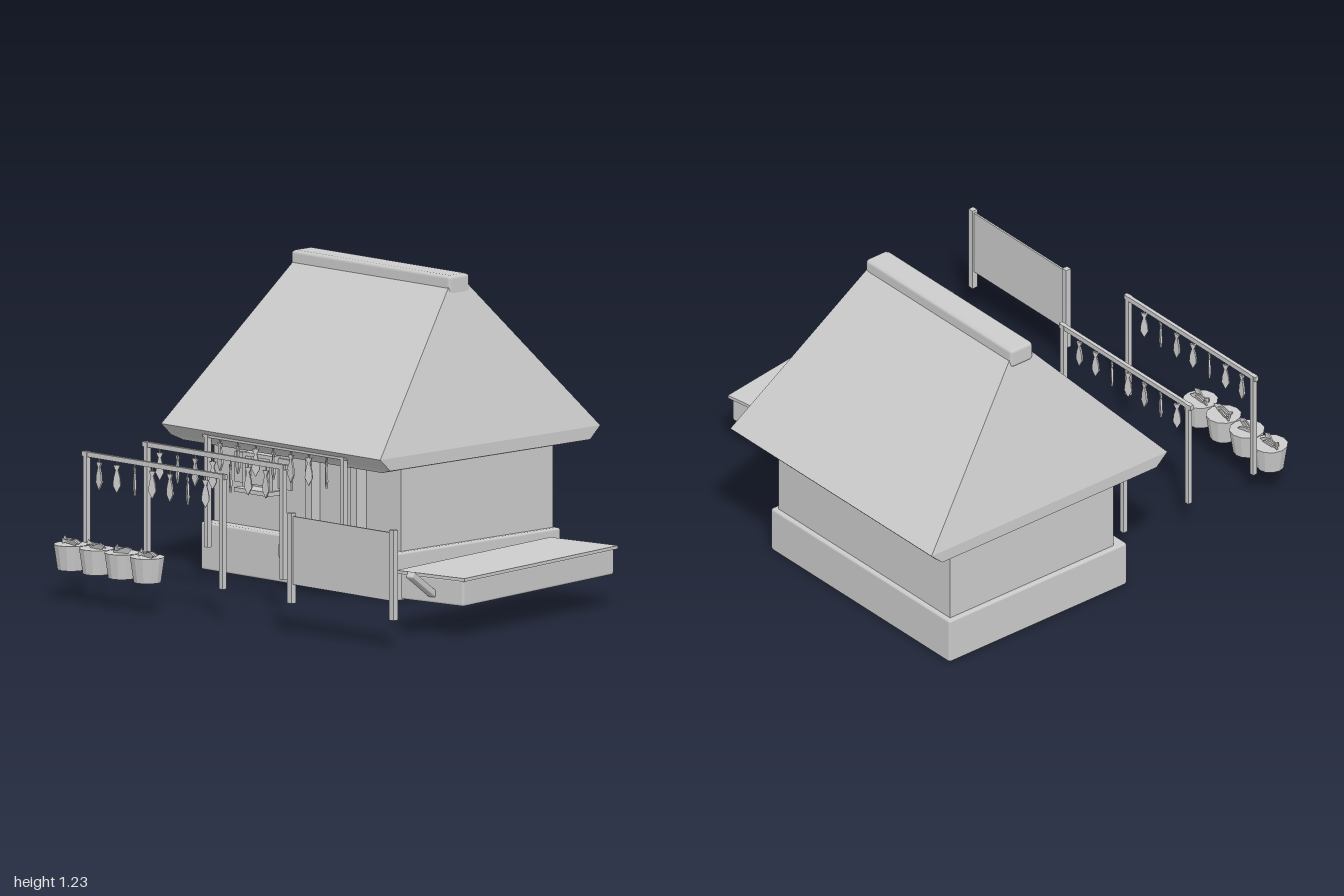
import * as THREE from 'three';
import { RoundedBoxGeometry } from 'three/addons/geometries/RoundedBoxGeometry.js';

const clay = new THREE.MeshStandardMaterial({ color: 0xcccccc });
clay.name = 'clay grey';

function add(parent, name, geometry, x = 0, y = 0, z = 0) {
  const mesh = new THREE.Mesh(geometry, clay);
  mesh.name = name;
  mesh.position.set(x, y, z);
  parent.add(mesh);
  return mesh;
}

// Box given by its limits on each axis; bevel rounds the edges
function box(parent, name, [x0, x1], [y0, y1], [z0, z1], bevel = 0) {
  const size = [x1 - x0, y1 - y0, z1 - z0];
  const g = bevel ? new RoundedBoxGeometry(...size, 1, bevel) : new THREE.BoxGeometry(...size);
  return add(parent, name, g, (x0 + x1) / 2, (y0 + y1) / 2, (z0 + z1) / 2);
}

function group(parent, name) {
  const g = new THREE.Group();
  g.name = name;
  parent.add(g);
  return g;
}

// Thick hollow hip roof: rectangular rings joined in order, outside to inside
function roofGeometry() {
  const cx = -0.3875, cz = -0.4;
  const rings = [ // half width, height, half depth
    [0.43, 1.2, 0.04], [0.6125, 0.585, 0.6], [0.6125, 0.535, 0.545],
    [0.555, 0.52, 0.535], [0.38, 1.12, 0.015],
  ];
  const corners = ([w, y, d]) => [[-1, 1], [1, 1], [1, -1], [-1, -1]]
    .map(([sx, sz]) => [cx + sx * w, y, cz + sz * d]);
  const p = [];
  const quad = (a, b, c, d) => p.push(...a, ...b, ...c, ...a, ...c, ...d);
  for (let r = 0; r < rings.length - 1; r++) {
    const up = corners(rings[r]), low = corners(rings[r + 1]);
    for (let i = 0; i < 4; i++) {
      const j = (i + 1) % 4;
      quad(low[i], low[j], up[j], up[i]);
    }
  }
  quad(...corners(rings[0]));
  quad(...corners(rings[rings.length - 1]).reverse());
  const g = new THREE.BufferGeometry();
  g.setAttribute('position', new THREE.Float32BufferAttribute(p, 3));
  g.computeVertexNormals();
  return g;
}

// Flat fish with a spread tail, head down
function fishGeometry() {
  const s = new THREE.Shape();
  [[0, -0.06], [0.016, -0.03], [0.013, 0], [0.005, 0.03], [0.014, 0.05],
    [-0.014, 0.05], [-0.005, 0.03], [-0.013, 0], [-0.016, -0.03]]
    .forEach(([x, y], i) => (i ? s.lineTo(x, y) : s.moveTo(x, y)));
  return new THREE.ExtrudeGeometry(s, { depth: 0.008, bevelEnabled: false }).translate(0, 0, -0.004);
}
const fishShape = fishGeometry();

// Drying rack with a row of hanging fish
function rack(parent, z, seed) {
  const g = group(parent, 'dryingRack');
  for (const x of [-0.77, -0.01]) box(g, 'rackPost', [x - 0.01, x + 0.01], [0.12, 0.575], [z - 0.01, z + 0.01]);
  box(g, 'rackBeam', [-0.79, 0.01], [0.555, 0.575], [z - 0.008, z + 0.008]);
  for (let i = 0; i < 7; i++) {
    const x = -0.7 + i * 0.099;
    box(g, 'string', [x - 0.002, x + 0.002], [0.53, 0.56], [z - 0.002, z + 0.002]);
    add(g, 'hangingFish', fishShape, x, 0.49, z).rotation.y = 0.6 * Math.sin(i * 2.3 + seed);
  }
}

export function createModel() {
  const model = new THREE.Group();
  model.name = 'fishingHut';

  // House
  const house = group(model, 'house');
  box(house, 'foundation', [-0.93, 0.16], [0, 0.19], [-0.85, 0.055], 0.01);
  box(house, 'walls', [-0.91, 0.135], [0.18, 0.56], [-0.83, 0]);
  add(house, 'roof', roofGeometry());
  box(house, 'ridgeCap', [-0.835, 0.055], [1.15, 1.23], [-0.457, -0.343], 0.015);
  box(house, 'doorStep', [-0.345, -0.05], [0.13, 0.19], [0.04, 0.205], 0.01);

  // Door
  box(house, 'door', [-0.32, -0.08], [0.19, 0.53], [-0.01, 0.01]);
  for (const x of [-0.325, -0.075]) box(house, 'doorPost', [x - 0.018, x + 0.018], [0.19, 0.54], [0, 0.055]);
  box(house, 'doorLintel', [-0.34, -0.06], [0.515, 0.54], [0, 0.055]);

  // Window
  box(house, 'shutter', [-0.785, -0.47], [0.36, 0.48], [-0.01, 0.01]);
  for (const x of [-0.7, -0.55]) box(house, 'windowPost', [x - 0.009, x + 0.009], [0.345, 0.49], [0, 0.04]);
  box(house, 'windowTop', [-0.71, -0.54], [0.475, 0.49], [0, 0.04]);
  box(house, 'windowSill', [-0.72, -0.53], [0.335, 0.352], [0, 0.075]);

  // Drying racks
  [0.83, 0.5, 0.17].forEach((z, i) => rack(model, z, i * 1.7));

  // Buckets of fish
  for (let i = 0; i < 4; i++) {
    const bucket = group(model, 'bucket');
    bucket.position.set(-0.765 + i * 0.142, 0, 0.92);
    const tub = new THREE.CylinderGeometry(0.07, 0.055, 0.1, 12).toNonIndexed();
    tub.computeVertexNormals();
    add(bucket, 'tub', tub, 0, 0.17, 0);
    for (let k = 0; k < 3; k++) {
      const f = add(bucket, 'bucketFish', fishShape, (k - 1) * 0.015, 0.229, (k - 1) * 0.012);
      f.rotation.set(0.25 * (k - 1), 0.3 * Math.sin(i * 2 + k * 2.1), Math.PI / 2 + 0.15 * (k - 1));
      f.scale.setScalar(0.8);
    }
  }

  // Angled flat boat with a tiller
  const boat = group(model, 'flatBoat');
  boat.position.set(0.751, 0, 0.02);
  boat.rotation.y = 0.15;
  box(boat, 'hull', [-0.155, 0.155], [0.125, 0.23], [-0.488, 0.488], 0.01);
  box(boat, 'deck', [-0.166, 0.166], [0.227, 0.24], [-0.498, 0.498]);
  add(boat, 'tiller', new RoundedBoxGeometry(0.036, 0.028, 0.18, 1, 0.006), 0, 0.208, 0.555).rotation.x = -0.58;

  // Screen fence
  const fence = group(model, 'fence');
  for (const x of [0.418, 0.988]) box(fence, 'fencePost', [x - 0.012, x + 0.012], [0.12, 0.477], [0.86, 0.884]);
  box(fence, 'fencePanel', [0.42, 0.986], [0.195, 0.465], [0.868, 0.876]);

  return model;
}
